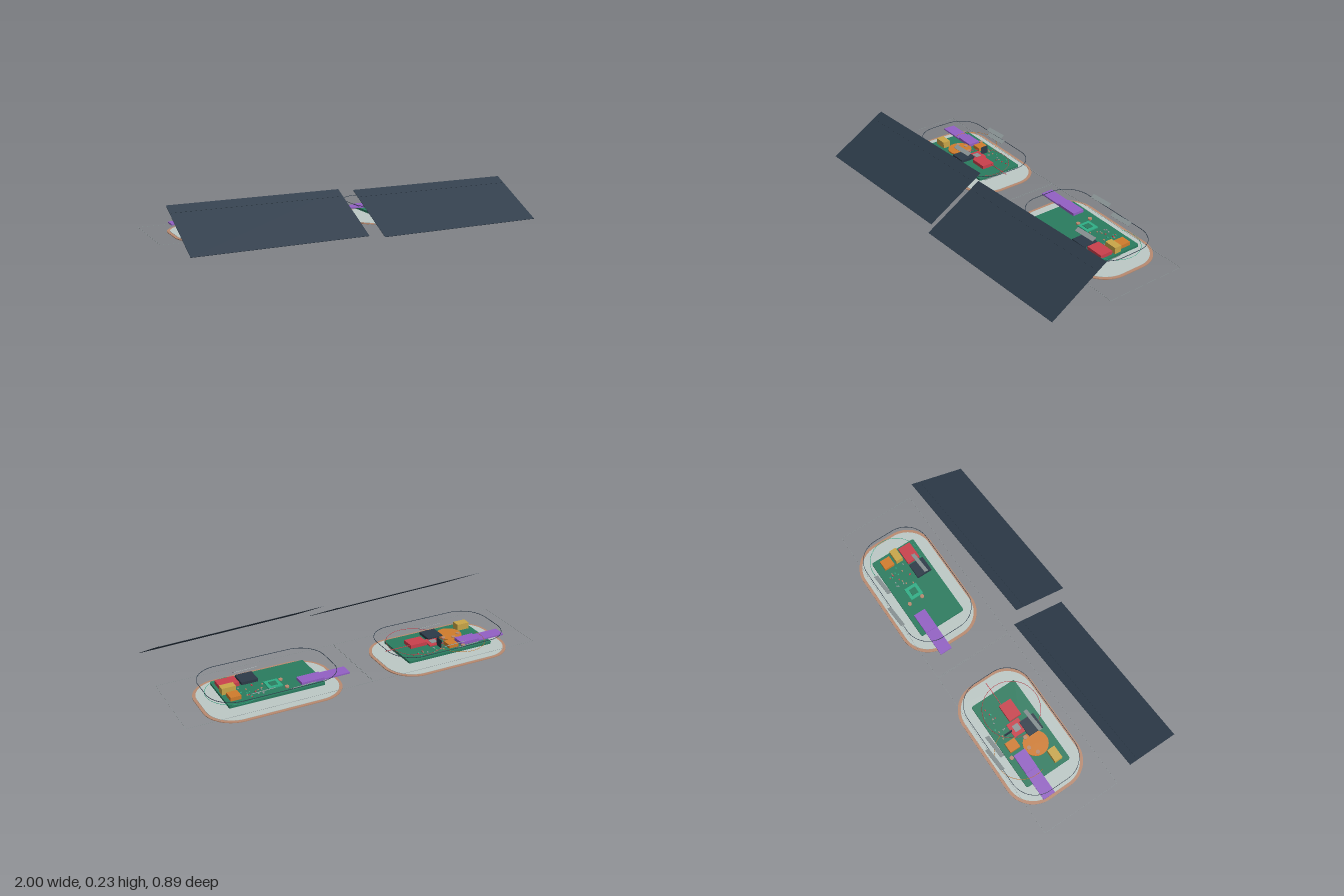
import * as THREE from 'three';

const colours = {
  navy: 0x2c3a48, tan: 0xb88a70, shellGrey: 0xbcc8c5, boardGreen: 0x2a7c5f, purple: 0x9260c4,
  orange: 0xd07c2c, yellow: 0xc9a648, red: 0xc9404c, mint: 0x2fae86, midGrey: 0x8c9697,
};
const mats = {};

function add(parent, name, geometry, colour, x = 0, y = 0, z = 0) {
  const mesh = new THREE.Mesh(geometry, mats[colour]);
  mesh.name = name;
  mesh.position.set(x, y, z);
  parent.add(mesh);
  return mesh;
}

// Box given by its extents on each axis
function block(parent, name, colour, x0, x1, y0, y1, z0, z1) {
  return add(parent, name, new THREE.BoxGeometry(x1 - x0, y1 - y0, z1 - z0), colour,
    (x0 + x1) / 2, (y0 + y1) / 2, (z0 + z1) / 2);
}

function roundedOutline(w, d, r, target = new THREE.Shape()) {
  const a = w / 2, b = d / 2;
  target.moveTo(-a + r, -b);
  target.lineTo(a - r, -b);
  target.absarc(a - r, -b + r, r, -Math.PI / 2, 0);
  target.lineTo(a, b - r);
  target.absarc(a - r, b - r, r, 0, Math.PI / 2);
  target.lineTo(-a + r, b);
  target.absarc(-a + r, b - r, r, Math.PI / 2, Math.PI);
  target.lineTo(-a, -b + r);
  target.absarc(-a + r, -b + r, r, Math.PI, Math.PI * 1.5);
  return target;
}

function slab(shape, h) {
  const g = new THREE.ExtrudeGeometry(shape, { depth: h, bevelEnabled: false, curveSegments: 12 });
  return g.rotateX(-Math.PI / 2);
}

// Sloping frame shared by the panels and the small label strips
const across = new THREE.Vector3(0.94, 0, -0.055).normalize();
const down = new THREE.Vector3(0.018, -0.186, 0.33).normalize();
const out = new THREE.Vector3().crossVectors(down, across).normalize();
down.crossVectors(across, out);
const slope = new THREE.Quaternion().setFromRotationMatrix(new THREE.Matrix4().makeBasis(across, out, down));

function slopedPlate(parent, name, colour, w, d, h, x, y, z) {
  const mesh = add(parent, name, new THREE.BoxGeometry(w, h, d), colour, x, y, z);
  mesh.quaternion.copy(slope);
  return mesh;
}

function wireLoop(parent, colour, x, z, r, arc = Math.PI * 2, start = 0) {
  const g = new THREE.TorusGeometry(r, 0.0012, 4, 48, arc).rotateZ(start).rotateX(-Math.PI / 2);
  add(parent, 'wireLoop', g, colour, x, 0.06, z);
}

// Shell, board and battery common to both units
function buildUnit(name, cx) {
  const unit = new THREE.Group();
  unit.name = name;
  const cz = -0.222;
  add(unit, 'basePlate', slab(roundedOutline(0.736, 0.446, 0.16), 0.004), 'tan', cx, 0, cz);
  add(unit, 'shellFloor', slab(roundedOutline(0.704, 0.414, 0.145), 0.002), 'shellGrey', cx, 0.004, cz);
  const lid = roundedOutline(0.69, 0.39, 0.14);
  lid.holes.push(roundedOutline(0.685, 0.385, 0.1375, new THREE.Path()));
  add(unit, 'lidOutline', slab(lid, 0.002), 'navy', cx, 0.092, -0.218);
  add(unit, 'circuitBoard', slab(roundedOutline(0.515, 0.272, 0.01), 0.012), 'boardGreen', cx, 0.035, -0.22);
  block(unit, 'battery', 'midGrey', cx - 0.18, cx + 0.25, 0.022, 0.034, -0.24, -0.125);

  // Hairline ground frame
  for (const z of [-0.41, 0.045]) {
    block(unit, 'frameRail', 'midGrey', cx - 0.497, cx + 0.497, 0.0195, 0.0205, z - 0.0005, z + 0.0005);
  }
  for (const x of [cx - 0.497, cx + 0.497]) {
    block(unit, 'frameSide', 'midGrey', x - 0.0005, x + 0.0005, 0.0195, 0.0205, -0.41, 0.045);
  }

  // Front panel with its seam
  slopedPlate(unit, 'frontPanel', 'navy', 0.942, 0.379, 0.002, cx, 0.135, 0.2475);
  slopedPlate(unit, 'panelSeam', 'navy', 0.93, 0.002, 0.003, cx - 0.006, 0.199, 0.135);
  return unit;
}

// Rows of tiny parts soldered to the board
function tinyParts(unit, x0, x1, z0, z1, count, seed) {
  const tints = ['tan', 'midGrey', 'red', 'mint'];
  const rand = () => (seed = (seed * 16807) % 2147483647) / 2147483647;
  for (let i = 0; i < count; i++) {
    const x = x0 + rand() * (x1 - x0), z = z0 + rand() * (z1 - z0);
    block(unit, 'tinyPart', tints[i % 4], x - 0.004, x + 0.004, 0.047, 0.051, z - 0.003, z + 0.003);
  }
}

export function createModel() {
  for (const [name, color] of Object.entries(colours)) {
    mats[name] = new THREE.MeshStandardMaterial({ color });
    mats[name].name = name;
  }
  const model = new THREE.Group();
  model.name = 'deviceLayout';

  // Unit on the model's right
  const a = buildUnit('rightUnit', -0.502);
  block(a, 'connectorTab', 'purple', -0.86, -0.7, 0.048, 0.056, -0.322, -0.252);
  block(a, 'connectorBody', 'purple', -0.7, -0.588, 0.047, 0.064, -0.322, -0.252);
  add(a, 'roundCoil', new THREE.CylinderGeometry(0.068, 0.068, 0.008, 32), 'orange', -0.595, 0.051, -0.187);
  block(a, 'orangeBlock', 'orange', -0.566, -0.51, 0.047, 0.067, -0.325, -0.265);
  block(a, 'redSocket', 'red', -0.425, -0.325, 0.047, 0.067, -0.235, -0.162);
  block(a, 'redChip', 'red', -0.51, -0.43, 0.047, 0.054, -0.26, -0.185);
  block(a, 'redChipCap', 'midGrey', -0.49, -0.452, 0.054, 0.056, -0.24, -0.205);
  block(a, 'darkChip', 'navy', -0.548, -0.456, 0.047, 0.062, -0.195, -0.107);
  block(a, 'yellowBlock', 'yellow', -0.737, -0.665, 0.047, 0.083, -0.165, -0.12);
  block(a, 'pin', 'navy', -0.476, -0.473, 0.047, 0.092, -0.3, -0.254);
  for (const [x, z] of [[-0.59, -0.335], [-0.596, -0.23], [-0.54, -0.215], [-0.64, -0.205]]) {
    add(a, 'contactDot', new THREE.CylinderGeometry(0.011, 0.011, 0.008, 16), 'tan', x, 0.055, z);
  }
  wireLoop(a, 'red', -0.375, -0.19, 0.155);
  wireLoop(a, 'orange', -0.595, -0.28, 0.14, Math.PI, 0.3);
  block(a, 'redLead', 'red', -0.325, -0.18, 0.06, 0.0625, -0.222, -0.219);
  tinyParts(a, -0.48, -0.3, -0.335, -0.27, 14, 71);

  // Unit on the model's left
  const b = buildUnit('leftUnit', 0.498);
  block(b, 'connectorTab', 'purple', 0.09, 0.235, 0.048, 0.056, -0.329, -0.26);
  block(b, 'connectorBody', 'purple', 0.235, 0.358, 0.047, 0.062, -0.329, -0.26);
  block(b, 'orangeBlock', 'orange', 0.675, 0.732, 0.047, 0.067, -0.315, -0.255);
  block(b, 'yellowBlock', 'yellow', 0.675, 0.748, 0.047, 0.083, -0.241, -0.2);
  block(b, 'redSocket', 'red', 0.637, 0.74, 0.047, 0.067, -0.19, -0.115);
  block(b, 'darkChip', 'navy', 0.536, 0.626, 0.047, 0.062, -0.19, -0.102);
  block(b, 'mintChip', 'mint', 0.445, 0.52, 0.047, 0.053, -0.29, -0.215);
  block(b, 'mintChipCap', 'boardGreen', 0.463, 0.502, 0.053, 0.055, -0.272, -0.233);
  for (const z of [-0.31, -0.23]) {
    add(b, 'contactDot', new THREE.CylinderGeometry(0.011, 0.011, 0.008, 16), 'tan', 0.432, 0.051, z);
  }
  wireLoop(b, 'mint', 0.69, -0.24, 0.14, 4.2, -2.1);
  tinyParts(b, 0.53, 0.66, -0.33, -0.21, 20, 37);

  // Sloping label strips floating over the units
  const labels = [[-0.557, -0.418], [-0.5, -0.38], [-0.495, -0.138]];
  for (const [x, z] of labels) slopedPlate(a, 'labelStrip', 'midGrey', 0.132, 0.026, 0.002, x, 0.103, z);
  for (const [x, z] of [[0.392, -0.418], [0.59, -0.38], [0.588, -0.142]]) {
    slopedPlate(b, 'labelStrip', 'midGrey', 0.128, 0.026, 0.002, x, 0.103, z);
  }

  model.add(a, b);
  return model;
}
